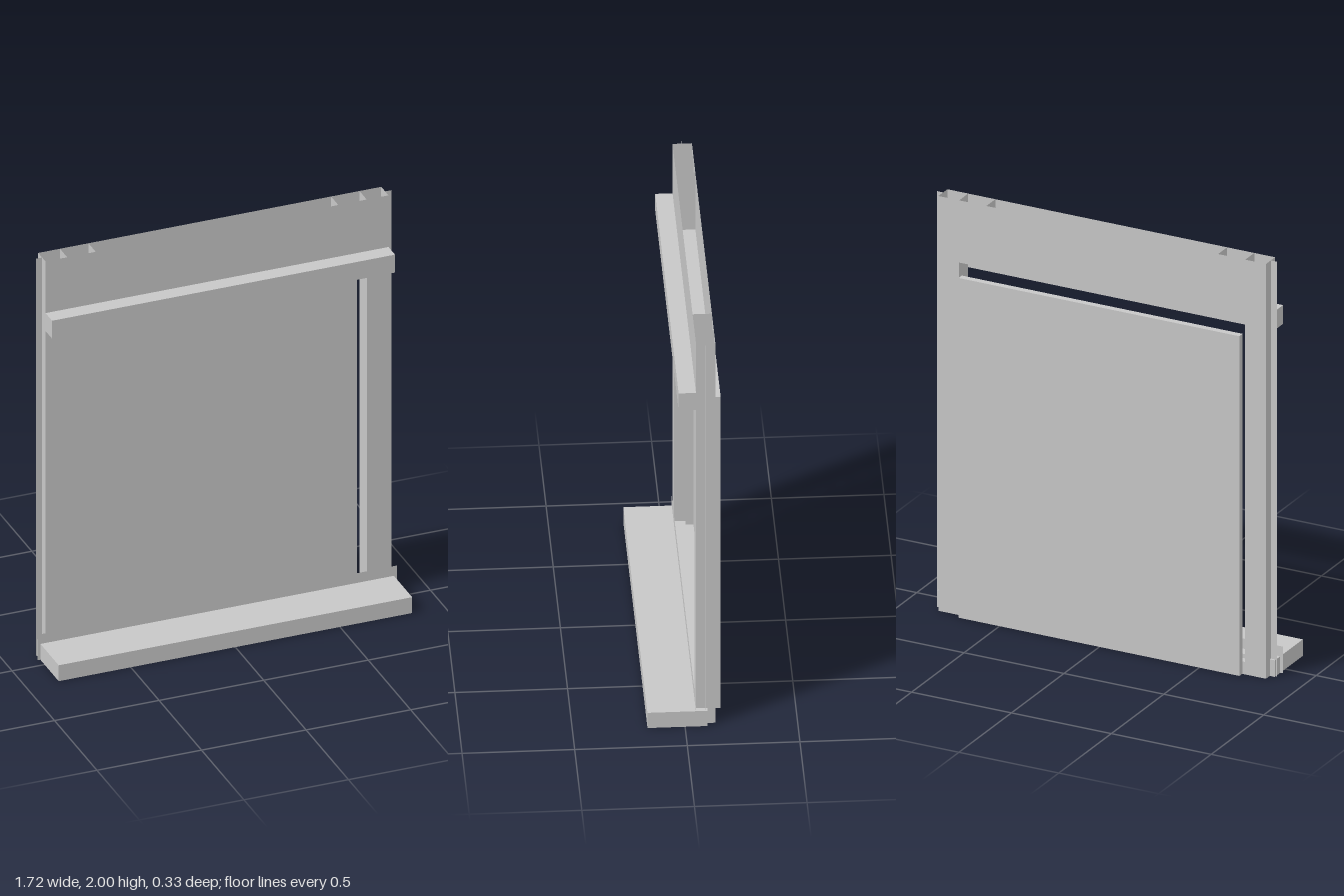
import * as THREE from 'three';

export function createModel() {
  const model = new THREE.Group();
  model.name = 'windowFrame';
  const grey = new THREE.MeshStandardMaterial({ color: 0xc7c7c7, side: THREE.DoubleSide });
  grey.name = 'grey';

  const FRONT = -0.05, BACK = -0.136; // faces of the hollow frame
  const DEPTH = FRONT - BACK, MID = (FRONT + BACK) / 2;
  const OPEN_X = 0.716, OPEN_BOTTOM = 0.06, OPEN_TOP = 1.7;

  function add(name, geometry, x, y, z) {
    const mesh = new THREE.Mesh(geometry, grey);
    mesh.name = name;
    mesh.position.set(x, y, z);
    model.add(mesh);
    return mesh;
  }

  // Box centred on x, given by its half width and its limits in y and z
  function box(name, halfX, y0, y1, z0, z1) {
    const geometry = new THREE.BoxGeometry(2 * halfX, y1 - y0, z1 - z0);
    add(name, geometry, 0, (y0 + y1) / 2, (z0 + z1) / 2);
  }

  // Thin horizontal plate, facing down
  function plate(name, halfX, y, z0, z1) {
    const geometry = new THREE.PlaneGeometry(2 * halfX, z1 - z0).rotateX(Math.PI / 2);
    add(name, geometry, 0, y, (z0 + z1) / 2);
  }

  function rectangle(path, x, y0, y1) {
    path.moveTo(-x, y0);
    path.lineTo(x, y0);
    path.lineTo(x, y1);
    path.lineTo(-x, y1);
    path.closePath();
    return path;
  }

  // Front and back sheets, each with its opening cut out
  function sheet(name, z, openTop) {
    const shape = rectangle(new THREE.Shape(), 0.82, 0, 2);
    shape.holes.push(rectangle(new THREE.Path(), OPEN_X, OPEN_BOTTOM, openTop));
    return add(name, new THREE.ShapeGeometry(shape), 0, 0, z);
  }
  sheet('frontSheet', FRONT, 1.645);
  sheet('backSheet', BACK, OPEN_TOP).geometry.rotateY(Math.PI);

  // Upright webs of the hollow frame, open at the top, and side fins
  for (const side of [-1, 1]) {
    const web = (name, x, y0) => {
      const geometry = new THREE.PlaneGeometry(DEPTH, 2 - y0).rotateY(side * Math.PI / 2);
      add(name, geometry, side * x, (2 + y0) / 2, MID);
    };
    web('jambWeb', OPEN_X, 0);
    web('outerWeb', 0.82, 0);
    web('headerWeb', 0.58, OPEN_TOP);
    add('sideFin', new THREE.PlaneGeometry(0.03, 2), side * 0.835, 1, -0.09);
  }

  // Top and bottom of the opening, and the underside
  plate('headerSoffit', OPEN_X, OPEN_TOP, BACK, FRONT);
  plate('openingLedge', OPEN_X, OPEN_BOTTOM, BACK, FRONT);
  plate('underside', 0.82, 0, BACK, -0.1);

  // Lintel, sill and the thin upstand behind the sill
  box('lintel', 0.82, 1.65, 1.74, FRONT, 0.027);
  box('sill', 0.845, 0, 0.08, -0.1, 0.167);
  add('sillUpstand', new THREE.PlaneGeometry(1.72, 0.128), 0, 0.065, FRONT + 0.002);

  // Panel closing the opening from behind
  box('backPanel', 0.703, 0.002, 1.64, -0.167, BACK);

  return model;
}
